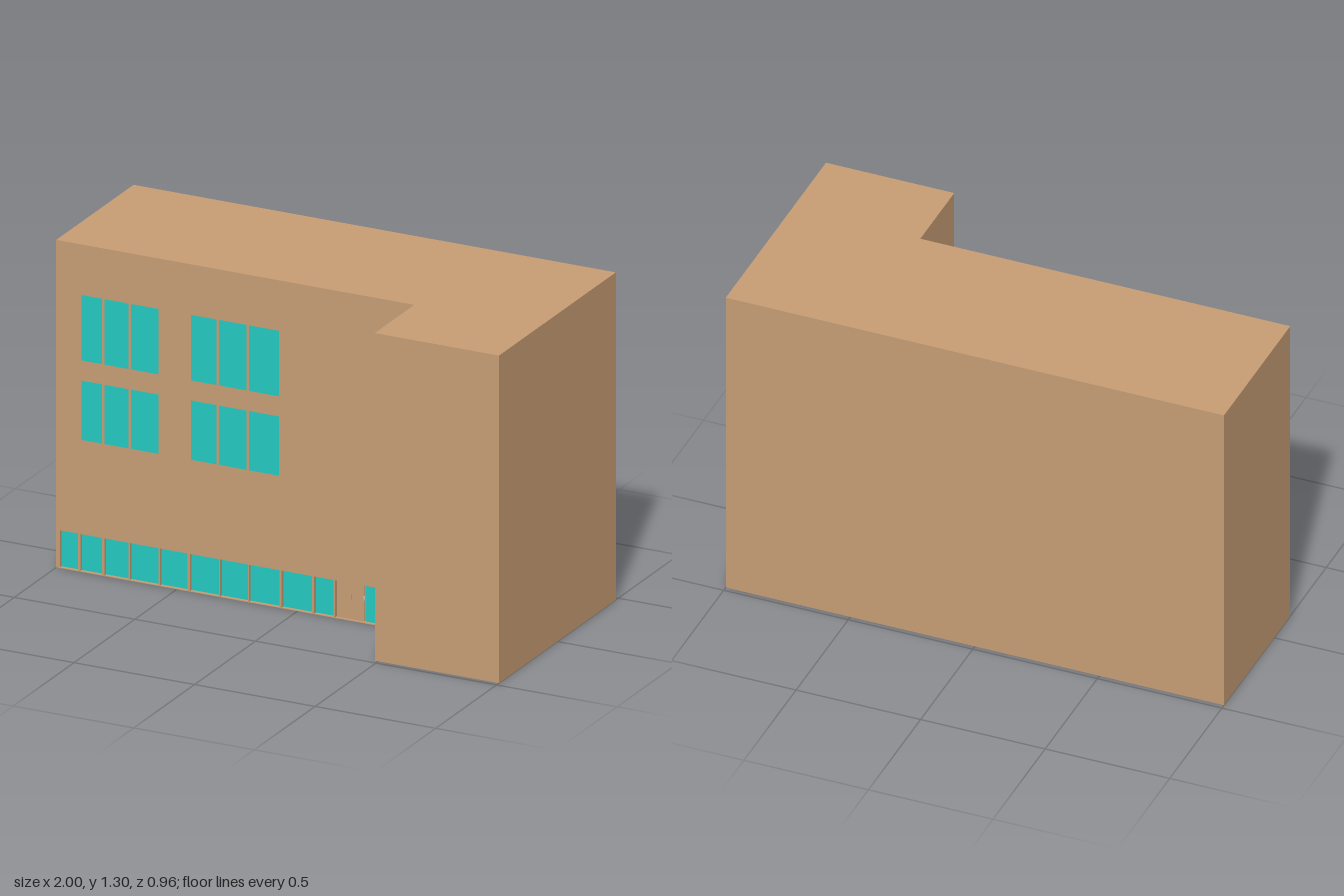
import * as THREE from 'three';

const H = 1.3, FRONT = 0.155, RECESS = 0.015, GROUND_TOP = 0.15, SILL = 0.003;

export function createModel() {
  const building = new THREE.Group();
  building.name = 'building';
  const wall = new THREE.MeshStandardMaterial({ color: 0xc89e75, flatShading: true });
  const glass = new THREE.MeshStandardMaterial({ color: 0x24cbc3, side: THREE.DoubleSide });
  const metal = new THREE.MeshStandardMaterial({ color: 0xcccccc });

  const add = (name, geometry, material, x = 0, y = 0, z = 0) => {
    const mesh = new THREE.Mesh(geometry, material);
    mesh.name = name;
    mesh.position.set(x, y, z);
    building.add(mesh);
    return mesh;
  };
  const pane = (name, x0, x1, y0, y1, z) =>
    add(name, new THREE.PlaneGeometry(x1 - x0, y1 - y0), glass, (x0 + x1) / 2, (y0 + y1) / 2, z);

  // L-shaped block, drawn in plan (shape y = -z) and raised to full height
  const back = FRONT - RECESS;
  const plan = new THREE.Shape([
    [-1, 0.48], [-1, -back], [0.485, -back], [0.485, -0.48], [1, -0.48], [1, 0.48],
  ].map(([x, y]) => new THREE.Vector2(x, y)));
  const block = new THREE.ExtrudeGeometry(plan, { depth: H, bevelEnabled: false });
  block.rotateX(-Math.PI / 2);
  add('mainBlock', block, wall);

  // Ground-floor openings: shop windows, then the doorway with its side light
  const shopPanes = [
    [-0.985, -0.91], [-0.9, -0.81], [-0.8, -0.7], [-0.695, -0.575], [-0.57, -0.455],
    [-0.445, -0.325], [-0.32, -0.205], [-0.2, -0.075], [-0.065, 0.06], [0.07, 0.15],
  ];
  const doorway = [0.156, 0.367];

  // Facade skin with the openings cut through it
  const rect = (P, x0, x1, y0, y1) => {
    const p = new P();
    p.moveTo(x0, y0).lineTo(x1, y0).lineTo(x1, y1).lineTo(x0, y1).closePath();
    return p;
  };
  const facade = rect(THREE.Shape, -1, 0.485, 0, H);
  for (const [x0, x1] of [...shopPanes, doorway])
    facade.holes.push(rect(THREE.Path, x0, x1, SILL, GROUND_TOP));
  add('facade', new THREE.ExtrudeGeometry(facade, { depth: RECESS, bevelEnabled: false }), wall, 0, 0, back);

  // Recessed shop glazing
  for (const [x0, x1] of shopPanes) pane('shopWindow', x0, x1, SILL, GROUND_TOP, back + 0.002);

  // Door, handle and side light
  add('door', new THREE.BoxGeometry(0.112, 0.145, 0.006), wall, 0.215, 0.0755, back + 0.003);
  add('doorHandle', new THREE.BoxGeometry(0.004, 0.025, 0.004), wall, 0.217, 0.09, back + 0.008);
  add('sideLightHandle', new THREE.BoxGeometry(0.003, 0.015, 0.004), metal, 0.272, 0.095, back + 0.004);
  pane('sideLight', 0.275, 0.365, SILL, GROUND_TOP, back + 0.002);

  // Two rows of triple windows, flush with the facade
  const columns = [
    [-0.895, -0.81], [-0.8, -0.7], [-0.69, -0.575],
    [-0.44, -0.335], [-0.325, -0.21], [-0.2, -0.075],
  ];
  for (const [y0, y1] of [[0.525, 0.76], [0.84, 1.1]])
    for (const [x0, x1] of columns) pane('upperWindow', x0, x1, y0, y1, FRONT + 0.001);

  return building;
}
